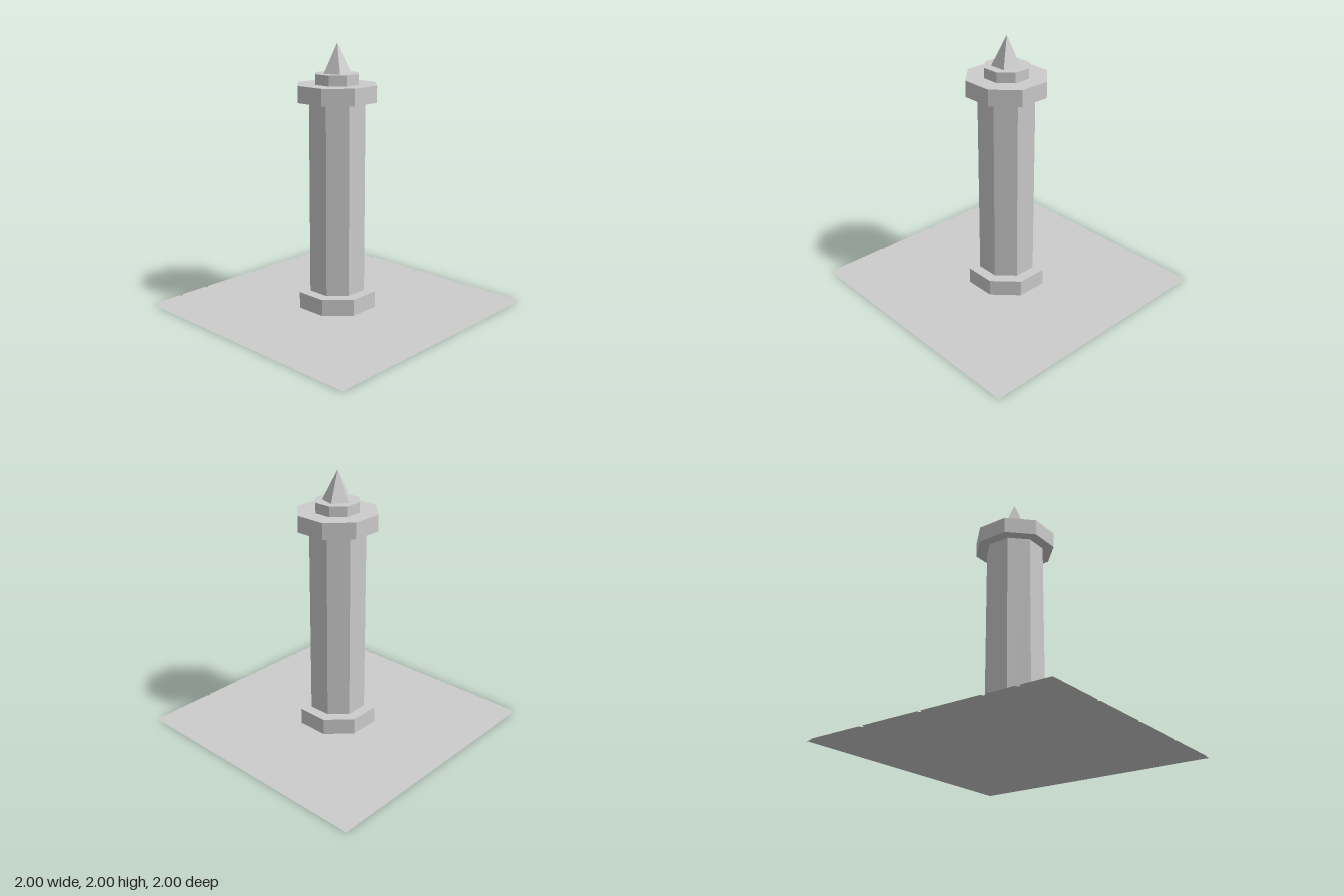
import * as THREE from 'three';

export function createModel() {
  const model = new THREE.Group();
  const stone = new THREE.MeshStandardMaterial({ color: 0xcccccc, flatShading: true, side: THREE.DoubleSide });
  stone.name = 'grey stone';

  const add = (parent, name, geometry) => {
    const mesh = new THREE.Mesh(geometry, stone);
    mesh.name = name;
    parent.add(mesh);
    return mesh;
  };

  // Flat horizontal sheet centred at x, z
  const sheet = (parent, name, x, y, z, w, d) => {
    add(parent, name, new THREE.PlaneGeometry(w, d).rotateX(-Math.PI / 2)).position.set(x, y, z);
  };

  // Paved floor: a backing sheet with a 4 x 4 pattern of slabs, some halved
  const floor = new THREE.Group();
  floor.name = 'floor';
  model.add(floor);
  sheet(floor, 'floorBase', 0, 0, 0, 2, 2);
  const tileY = 0.015, full = 0.475, half = 0.225, shift = 0.125;
  const pattern = ['x-z-', '-xz-', '---z', '--z-']; // x, z: axis along which a slab is halved
  pattern.forEach((row, r) => [...row].forEach((split, c) => {
    const x = -0.75 + c * 0.5, z = -0.75 + r * 0.5;
    if (split === '-') {
      sheet(floor, 'tile', x, tileY, z, full, full);
      return;
    }
    for (const s of [-1, 1]) {
      if (split === 'x') sheet(floor, 'halfTile', x + s * shift, tileY, z, half, full);
      else sheet(floor, 'halfTile', x, tileY, z + s * shift, full, half);
    }
  }));

  // Octagonal blocks: name, distance to the flats, bottom, top
  const blocks = [
    ['pedestal', 0.285, 0.015, 0.14],
    ['shaft', 0.205, 0.14, 1.58],
    ['capital', 0.285, 1.58, 1.703],
    ['upperCollar', 0.158, 1.703, 1.78],
  ];
  for (const [name, flat, y0, y1] of blocks) {
    const radius = flat / Math.cos(Math.PI / 8);
    const block = add(model, name, new THREE.CylinderGeometry(radius, radius, y1 - y0, 8));
    block.rotation.y = Math.PI / 8;
    block.position.y = (y0 + y1) / 2;
  }

  // Five-sided spire with one corner pointing back
  const spire = add(model, 'spire', new THREE.ConeGeometry(0.111, 0.22, 5));
  spire.rotation.y = Math.PI;
  spire.position.y = 1.89;

  return model;
}
